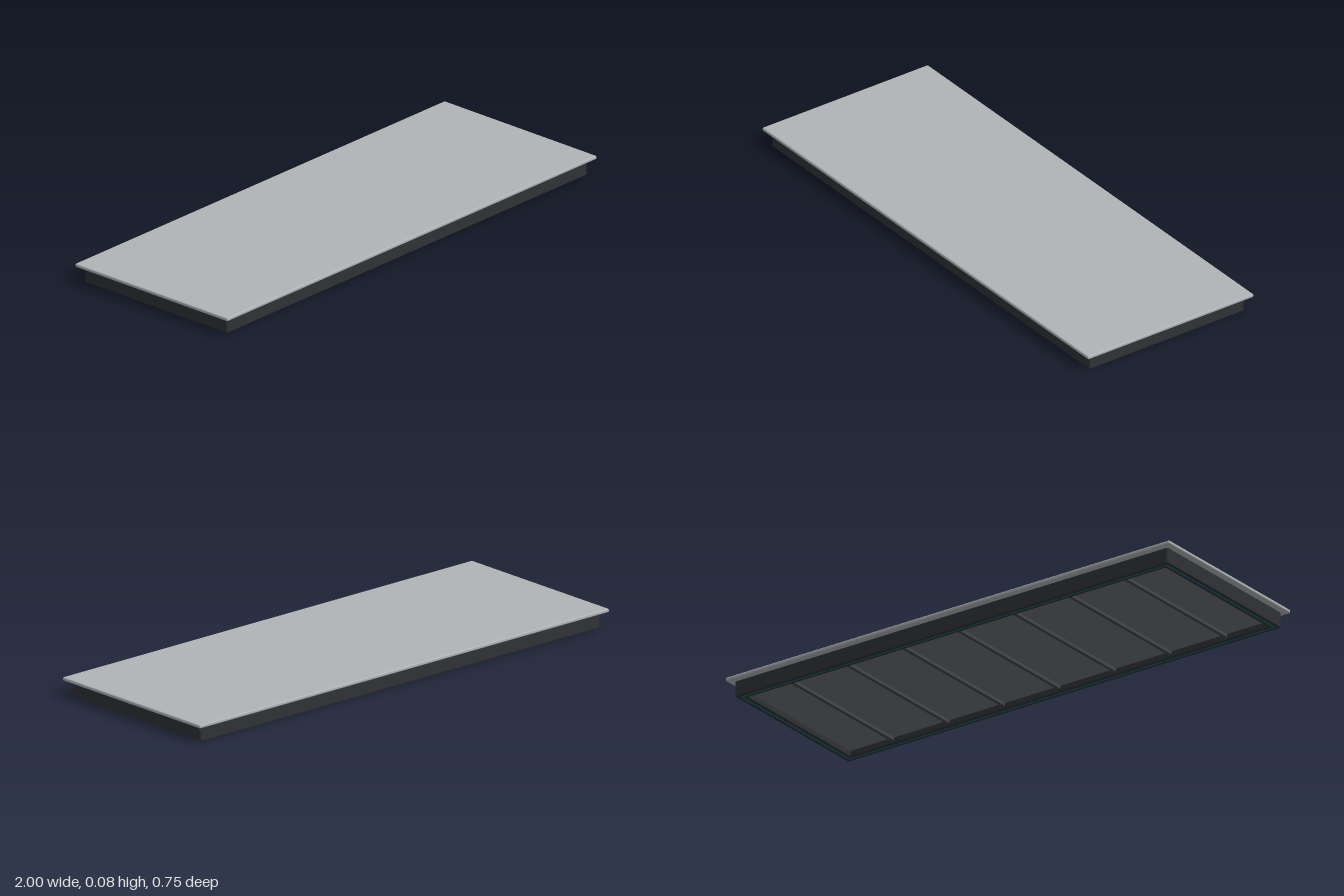
import * as THREE from 'three';
import { RoundedBoxGeometry } from 'three/addons/geometries/RoundedBoxGeometry.js';

const paint = (color) => new THREE.MeshStandardMaterial({ color });

// Rounded rectangle outline centred on the origin
function roundedRect(target, halfX, halfZ, r) {
  target.moveTo(halfX, -halfZ + r);
  target.absarc(halfX - r, halfZ - r, r, 0, Math.PI / 2);
  target.absarc(-halfX + r, halfZ - r, r, Math.PI / 2, Math.PI);
  target.absarc(-halfX + r, -halfZ + r, r, Math.PI, Math.PI * 1.5);
  target.absarc(halfX - r, -halfZ + r, r, Math.PI * 1.5, Math.PI * 2);
  target.closePath();
  return target;
}

// Rectangular ring lying flat between heights y0 and y1, with optional bevel
function ring(outerX, outerZ, width, y0, y1, bevel = 0) {
  const shape = roundedRect(new THREE.Shape(), outerX - bevel, outerZ - bevel, 0.004);
  shape.holes.push(roundedRect(new THREE.Path(), outerX - width + bevel, outerZ - width + bevel, 0.004));
  const geometry = new THREE.ExtrudeGeometry(shape, {
    depth: y1 - y0 - 2 * bevel,
    curveSegments: 4,
    bevelEnabled: bevel > 0,
    bevelSize: bevel,
    bevelThickness: bevel,
    bevelSegments: 2,
  });
  geometry.rotateX(-Math.PI / 2);
  geometry.translate(0, y0 + bevel, 0);
  return geometry;
}

export function createModel() {
  const group = new THREE.Group();
  const add = (name, geometry, material, x = 0, y = 0, z = 0) => {
    const mesh = new THREE.Mesh(geometry, material);
    mesh.name = name;
    mesh.position.set(x, y, z);
    group.add(mesh);
  };
  const dark = paint(0x303236);

  // Thin top sheet with rounded edges, overhanging the frame
  add('topSheet', new RoundedBoxGeometry(2, 0.014, 0.746, 3, 0.005), paint(0xb0b4b6), 0, 0.068, 0);

  // Perimeter frame and the seal strip under its rim
  add('frame', ring(0.975, 0.349, 0.035, 0.001, 0.062, 0.003), dark);
  add('sealStrip', ring(0.961, 0.335, 0.008, 0, 0.003), paint(0x1f5a66));

  // Recessed underside panel
  add('undersidePanel', new THREE.BoxGeometry(1.89, 0.038, 0.638), paint(0x6a6e73), 0, 0.042, 0);

  // Evenly spaced cross ribs
  const rib = new THREE.BoxGeometry(0.014, 0.014, 0.634);
  const ribMaterial = paint(0x46474a);
  for (let i = -3; i <= 3; i++) add('crossRib', rib, ribMaterial, i * 0.25, 0.018, 0);

  return group;
}
